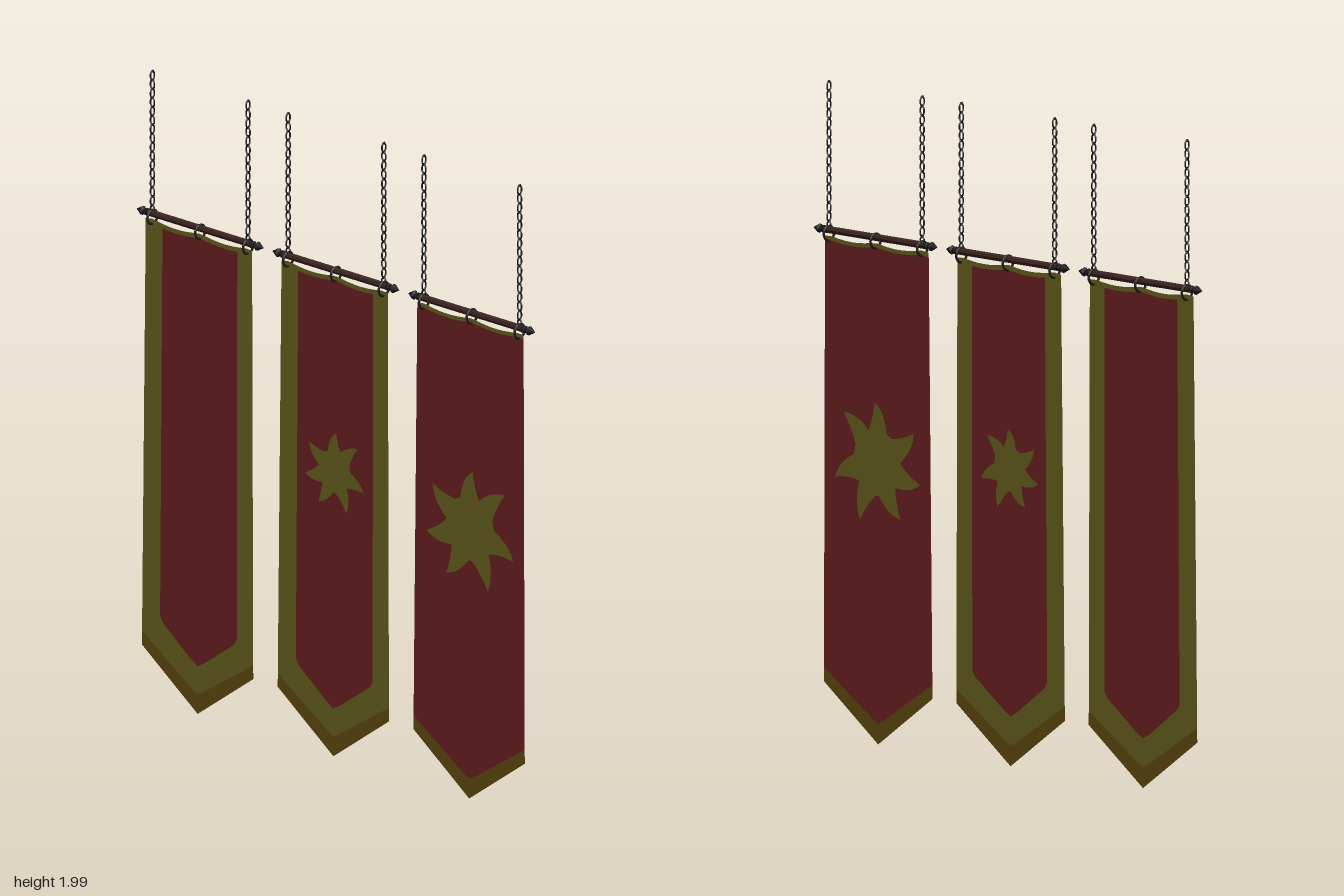
import * as THREE from 'three';
import { mergeGeometries } from 'three/addons/utils/BufferGeometryUtils.js';

const mat = (name, color, extra = {}) => {
  const m = new THREE.MeshStandardMaterial({ color, ...extra });
  m.name = name;
  return m;
};

const ROD_Y = 1.545;
const RING_X = [-0.2, 0, 0.2];
const TIP_X = -0.011;

export function createModel() {
  const cloth = { side: THREE.DoubleSide };
  const red = mat('red cloth', 0x732325, cloth);
  const gold = mat('gold cloth', 0x706822, cloth);
  const fringeMat = mat('fringe', 0x685011, cloth);
  const iron = mat('black iron', 0x1b1b1f, { flatShading: true });
  const wood = mat('dark wood', 0x3e2622, { flatShading: true });

  const add = (parent, name, geo, material) => {
    const mesh = new THREE.Mesh(geo, material);
    mesh.name = name;
    parent.add(mesh);
    return mesh;
  };
  const shapeOf = (pts) => new THREE.Shape(pts.map(([x, y]) => new THREE.Vector2(x, y)));
  const panel = (pts, holePts) => {
    const shape = shapeOf(pts);
    if (holePts) shape.holes.push(new THREE.Path(holePts.map(([x, y]) => new THREE.Vector2(x, y))));
    return new THREE.ShapeGeometry(shape);
  };

  // Cloth edge that sags between the rings, running right to left
  const scallop = (x0, x1, y, sag) => {
    const pts = [];
    for (let i = 0; i <= 16; i++) {
      const x = x1 + (x0 - x1) * i / 16;
      pts.push([x, y - sag * Math.abs(Math.sin(x / 0.2 * Math.PI))]);
    }
    return pts;
  };

  // Seven curling rays round a disc
  const sunPoints = (cx, cy, s) => {
    const rays = [[87, 0.182], [146, 0.19], [194, 0.19], [238, 0.19], [292, 0.195], [341, 0.19], [404, 0.2]];
    const at = (deg, r) => {
      const a = THREE.MathUtils.degToRad(deg);
      return new THREE.Vector2(cx + Math.cos(a) * r * s, cy + Math.sin(a) * r * s);
    };
    const pts = [];
    rays.forEach(([deg, r]) => {
      const tip = at(deg, r);
      const rise = new THREE.QuadraticBezierCurve(at(deg - 18, 0.102), at(deg - 4, 0.135), tip);
      const fall = new THREE.QuadraticBezierCurve(tip, at(deg + 14, 0.165), at(deg + 28, 0.1));
      pts.push(...rise.getPoints(5), ...fall.getPoints(5).slice(1));
    });
    return pts.map((p) => [p.x, p.y]);
  };

  // Chain: links alternately turned a quarter
  const makeChain = () => {
    const links = [];
    for (let i = 0; i < 16; i++) {
      const g = new THREE.TorusGeometry(0.0115, 0.0035, 4, 8);
      g.rotateZ(Math.PI / 8);
      g.scale(0.75, 1.3, 1);
      if (i % 2 === 0) g.rotateY(Math.PI / 2);
      g.translate(0, 1.981 - i * 0.0283, 0);
      links.push(g);
    }
    return mergeGeometries(links);
  };
  const chainGeo = makeChain();
  const ringGeo = new THREE.TorusGeometry(0.022, 0.004, 5, 16).rotateY(Math.PI / 2);
  const spikeGeo = new THREE.LatheGeometry([
    [0, 0.215], [0.012, 0.215], [0.012, 0.224], [0.008, 0.226], [0.008, 0.234], [0.0145, 0.24], [0, 0.266],
  ].map(([r, y]) => new THREE.Vector2(r, y)), 8);

  const makeBanner = (name, { border, sun }) => {
    const banner = new THREE.Group();
    banner.name = name;

    // Rod, spiked ends, rings and chains
    const rod = add(banner, 'rod', new THREE.CylinderGeometry(0.011, 0.011, 0.44, 8), wood);
    rod.rotation.z = Math.PI / 2;
    rod.position.y = ROD_Y;
    for (const side of [-1, 1]) {
      const spike = add(banner, 'rodSpike', spikeGeo, iron);
      spike.rotation.z = -side * Math.PI / 2;
      spike.position.y = ROD_Y;
      add(banner, 'chain', chainGeo, iron).position.x = side * 0.2;
    }
    for (const x of RING_X) add(banner, 'ring', ringGeo, iron).position.set(x, 1.534, 0);

    // Fringe along the pointed hem
    const hem = [[-0.2435, 0.215], [-0.03, 0.079], [TIP_X, 0.07], [0.008, 0.079], [0.2215, 0.215]];
    add(banner, 'fringe', panel([
      [-0.244, 0.172], [TIP_X, 0.007], [0.222, 0.172], ...[...hem].reverse(),
    ]), fringeMat);

    // Gold border and red field, each cut so that no faces overlap
    const outline = [...hem, ...scallop(-0.228, 0.217, 1.528, 0.01)];
    const field = border
      ? [[-0.168, 0.28], [-0.158, 0.262], [-0.04, 0.174], [TIP_X, 0.158], [0.018, 0.174],
        [0.142, 0.262], [0.153, 0.28], ...scallop(-0.158, 0.155, 1.512, 0.008)]
      : [...hem, ...scallop(-0.228, 0.217, 1.514, 0.008)];
    if (border) {
      add(banner, 'goldBorder', panel(outline, field), gold);
    } else {
      add(banner, 'goldTopHem', panel([
        ...scallop(-0.228, 0.217, 1.514, 0.008).reverse(), ...scallop(-0.228, 0.217, 1.528, 0.01),
      ]), gold);
    }
    const sunPts = sun && sunPoints(...sun);
    add(banner, 'redField', panel(field, sunPts), red);
    if (sunPts) add(banner, 'sunEmblem', panel(sunPts), gold);
    return banner;
  };

  const model = new THREE.Group();
  model.name = 'hangingBanners';
  [
    ['plainBanner', { border: true }],
    ['smallSunBanner', { border: true, sun: [-0.006, 0.908, 0.67] }],
    ['largeSunBanner', { border: false, sun: [-0.006, 0.861, 1] }],
  ].forEach(([name, options], i) => {
    const banner = makeBanner(name, options);
    banner.position.x = (i - 1) * 0.568;
    model.add(banner);
  });
  return model;
}
